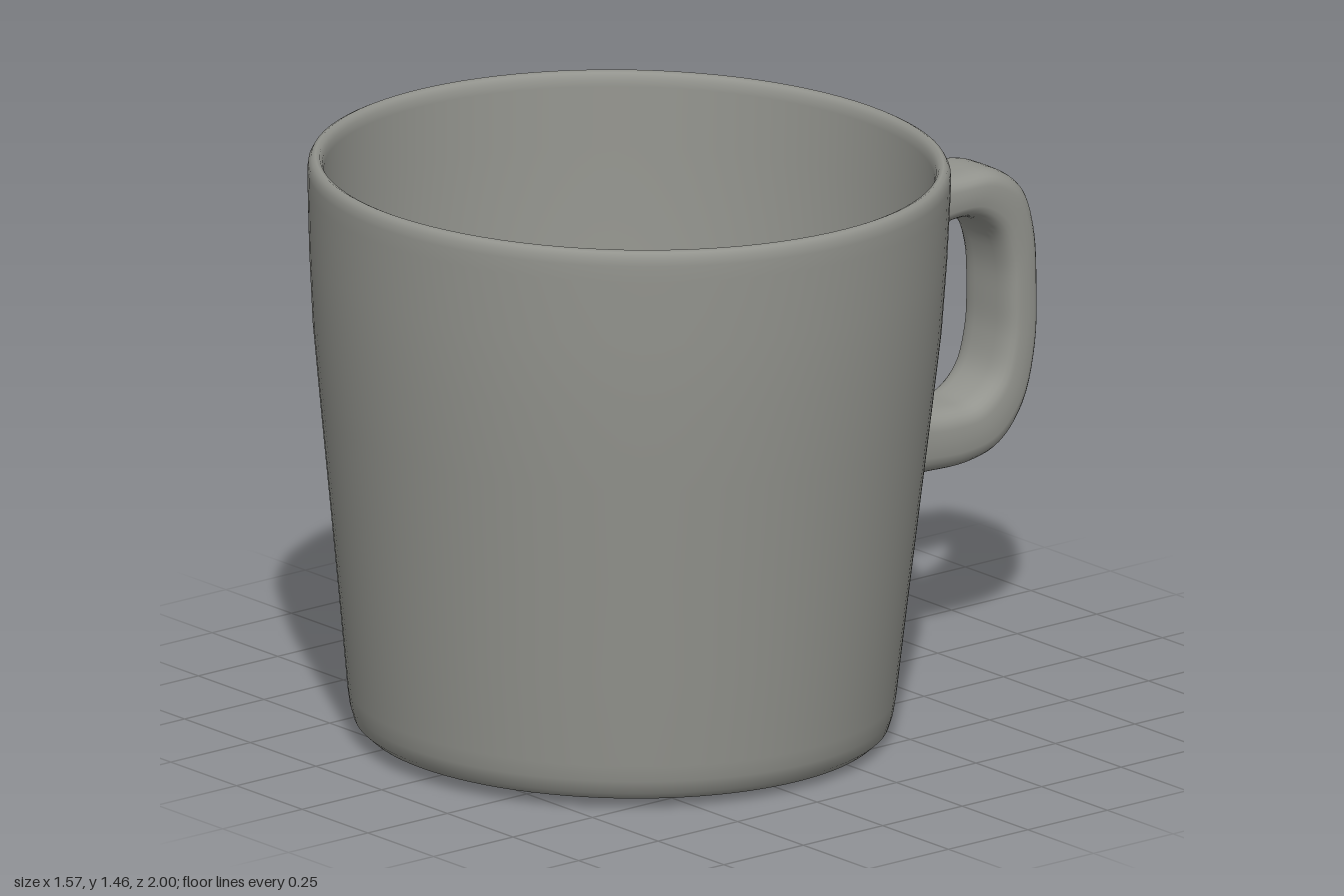
import * as THREE from 'three';

const glaze = new THREE.MeshStandardMaterial({ color: 0x93948e });
glaze.name = 'grey glaze';

// Hollow tapered body, turned from one profile (radius, height)
function makeBody() {
  const profile = [
    // recessed underside and foot ring
    [0, 0.022], [0.5, 0.022], [0.545, 0.02], [0.565, 0.01], [0.585, 0.002], [0.61, 0.002],
    // rounded base corner and outer wall
    [0.635, 0.009], [0.655, 0.027], [0.665, 0.06], [0.671, 0.1], [0.695, 0.33], [0.722, 0.58],
    [0.748, 0.82], [0.769, 1.02], [0.78, 1.2], [0.786, 1.36], [0.787, 1.4],
    // rounded rim
    [0.785, 1.419], [0.778, 1.432], [0.768, 1.437], [0.757, 1.432], [0.75, 1.419], [0.747, 1.4],
    // inner wall, fillet and floor
    [0.742, 1.25], [0.728, 1.0], [0.7, 0.7], [0.67, 0.4], [0.648, 0.2], [0.639, 0.14],
    [0.626, 0.105], [0.605, 0.084], [0.575, 0.073], [0.53, 0.07], [0, 0.07],
  ].map(([r, y]) => new THREE.Vector2(r, y));
  return new THREE.LatheGeometry(profile, 96);
}

// Handle: rounded cross-sections lofted between an outer and an inner curve (z, y)
function makeHandle() {
  const curve = (pts) =>
    new THREE.CatmullRomCurve3(pts.map(([z, y]) => new THREE.Vector3(0, y, z)));
  const outer = curve([
    [-0.525, 1.275], [-0.56, 1.25], [-0.64, 1.238], [-0.75, 1.232], [-0.87, 1.225], [-0.955, 1.17],
    [-0.99, 1.07], [-1.0, 0.92], [-0.995, 0.76], [-0.955, 0.61], [-0.88, 0.52], [-0.78, 0.49],
    [-0.65, 0.49], [-0.53, 0.488], [-0.48, 0.46], [-0.45, 0.43],
  ]);
  const inner = curve([
    [-0.503, 0.85], [-0.553, 1.0], [-0.635, 1.085], [-0.72, 1.115], [-0.8, 1.11], [-0.865, 1.06],
    [-0.895, 0.98], [-0.9, 0.88], [-0.895, 0.79], [-0.865, 0.7], [-0.8, 0.65], [-0.73, 0.645],
    [-0.62, 0.66], [-0.54, 0.715], [-0.507, 0.8], [-0.485, 0.84],
  ]);
  const rows = 75, sides = 28;
  const squash = (v) => Math.sign(v) * Math.pow(Math.abs(v), 0.6);
  const positions = [], indices = [];
  for (let i = 0; i <= rows; i++) {
    const t = i / rows;
    const o = outer.getPoint(t), n = inner.getPoint(t);
    const mid = o.clone().add(n).multiplyScalar(0.5);
    const half = o.clone().sub(n).multiplyScalar(0.5);
    // the sides flare a little where the handle meets the wall
    const width = 0.102 + 0.018 * Math.pow(Math.abs(2 * t - 1), 12);
    for (let j = 0; j < sides; j++) {
      const a = (j / sides) * Math.PI * 2;
      const p = mid.clone().addScaledVector(half, squash(Math.cos(a)));
      positions.push(width * squash(Math.sin(a)), p.y, p.z);
      if (i < rows) {
        const k = (j + 1) % sides;
        const q = i * sides + j, r = i * sides + k;
        indices.push(q, r, q + sides, r, r + sides, q + sides);
      }
    }
  }
  const g = new THREE.BufferGeometry();
  g.setAttribute('position', new THREE.Float32BufferAttribute(positions, 3));
  g.setIndex(indices);
  g.computeVertexNormals();
  return g;
}

export function createModel() {
  const mug = new THREE.Group();
  mug.name = 'mug';

  // the body leans back very slightly
  const body = new THREE.Mesh(makeBody(), glaze);
  body.name = 'body';
  body.scale.z = 0.987;
  body.rotation.x = -0.018;
  body.position.set(0, 0.01, 0.246);

  const handle = new THREE.Mesh(makeHandle(), glaze);
  handle.name = 'handle';

  mug.add(body, handle);
  return mug;
}
